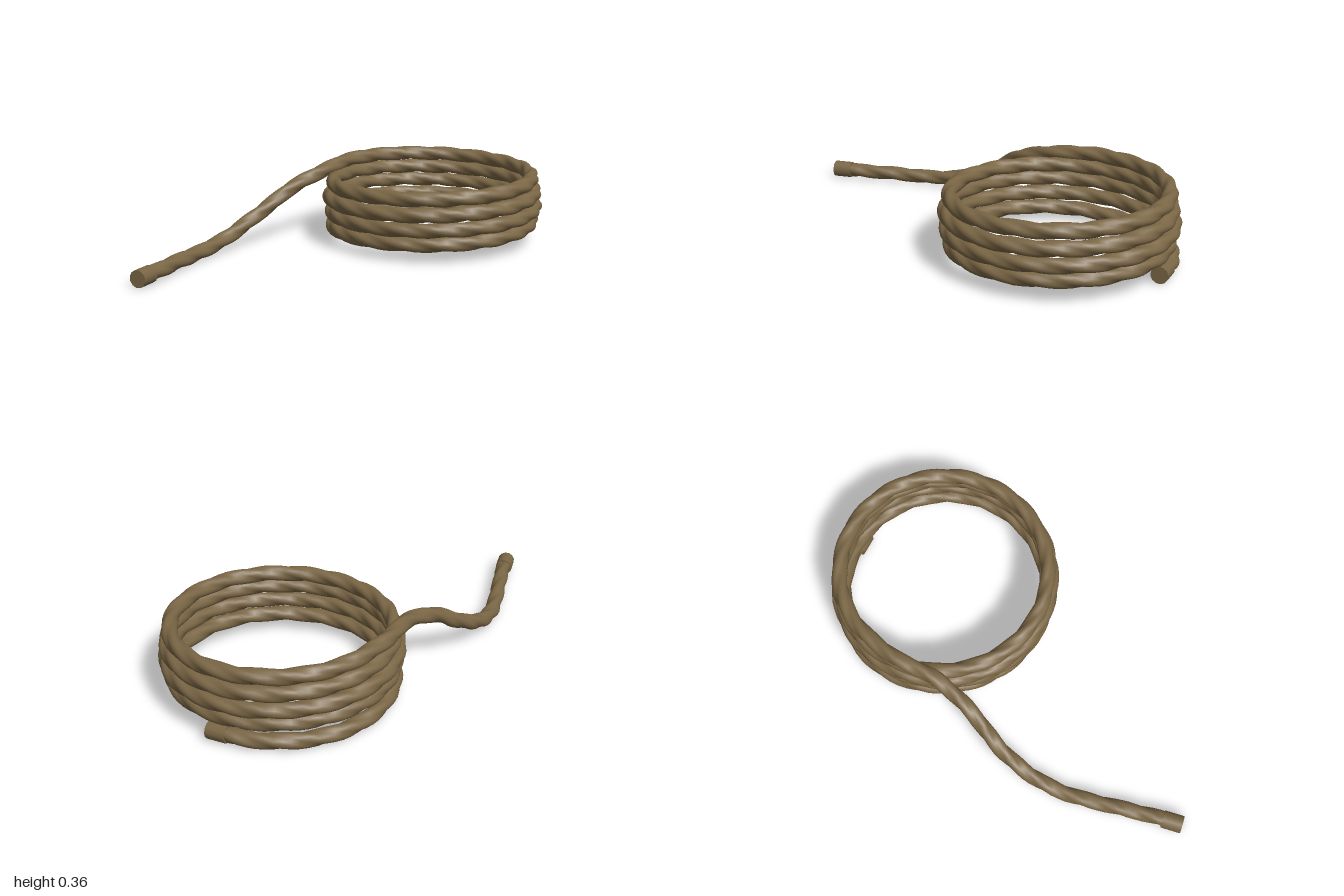
import * as THREE from 'three';
import { mergeVertices } from 'three/addons/utils/BufferGeometryUtils.js';

const TURNS = 4.2;

// Centre line: a rising coil, then a tail that drops to the ground
function ropePath() {
  const points = [];
  const perTurn = 20;
  for (let i = 0; i <= TURNS * perTurn; i++) {
    const t = i / perTurn;
    const a = t * Math.PI * 2;
    const swell = Math.exp(-(((t - 2.2) / 1.1) ** 2));
    const r = 0.452 + 0.024 * Math.max(swell, Math.exp(-((t / 0.4) ** 2)));
    const sag = 0.016 * Math.exp(-(((t - 0.2) / 0.12) ** 2));
    points.push(new THREE.Vector3(
      0.48 + r * Math.cos(a), 0.043 + 0.067 * t - sag, -r * Math.sin(a)));
  }
  const tail = [
    [0.4, 0.325, -0.455], [0.2, 0.305, -0.425], [0, 0.245, -0.442],
    [-0.1, 0.185, -0.465], [-0.2, 0.13, -0.482], [-0.35, 0.068, -0.482],
    [-0.5, 0.042, -0.455], [-0.7, 0.043, -0.382], [-0.85, 0.044, -0.322],
    [-0.98, 0.044, -0.278],
  ];
  tail.forEach((p) => points.push(new THREE.Vector3(...p)));
  const curve = new THREE.CatmullRomCurve3(points, false, 'centripetal');
  curve.arcLengthDivisions = 2000;
  return curve;
}

// Tube whose round section becomes three lobes twisting along the length
function twistedTube(curve, segments, sides, pitch) {
  const geo = new THREE.TubeGeometry(curve, segments, 1, sides, false);
  const pos = geo.attributes.position;
  const length = curve.getLength();
  const p = new THREE.Vector3();
  for (let i = 0; i <= segments; i++) {
    const centre = curve.getPointAt(i / segments);
    const twist = (2 * Math.PI * length * i) / segments / pitch;
    for (let j = 0; j <= sides; j++) {
      const k = i * (sides + 1) + j;
      const a = (2 * Math.PI * j) / sides + twist;
      const radius = 0.0265 + 0.0085 * Math.abs(Math.cos(1.5 * a));
      p.fromBufferAttribute(pos, k).sub(centre).multiplyScalar(radius).add(centre);
      pos.setXYZ(k, p.x, p.y, p.z);
    }
  }
  geo.deleteAttribute('uv');
  geo.deleteAttribute('normal');
  const merged = mergeVertices(geo, 1e-5);
  merged.computeVertexNormals();
  return merged;
}

export function createModel() {
  const group = new THREE.Group();
  group.name = 'coiledRope';
  const hemp = new THREE.MeshStandardMaterial({ color: 0x7a6645 });
  hemp.name = 'hempBrown';

  const curve = ropePath();
  const rope = new THREE.Mesh(twistedTube(curve, 420, 18, 0.51), hemp);
  rope.name = 'rope';
  group.add(rope);

  // Whipped end bands closing both rope ends
  const bandGeo = new THREE.CylinderGeometry(0.038, 0.038, 0.086, 12);
  const up = new THREE.Vector3(0, 1, 0);
  [['startBand', 0, 1], ['tailBand', 1, -1]].forEach(([name, u, inward]) => {
    const dir = curve.getTangentAt(u).multiplyScalar(inward);
    const band = new THREE.Mesh(bandGeo, hemp);
    band.name = name;
    band.position.copy(curve.getPointAt(u)).addScaledVector(dir, 0.037);
    band.quaternion.setFromUnitVectors(up, dir);
    group.add(band);
  });
  return group;
}
